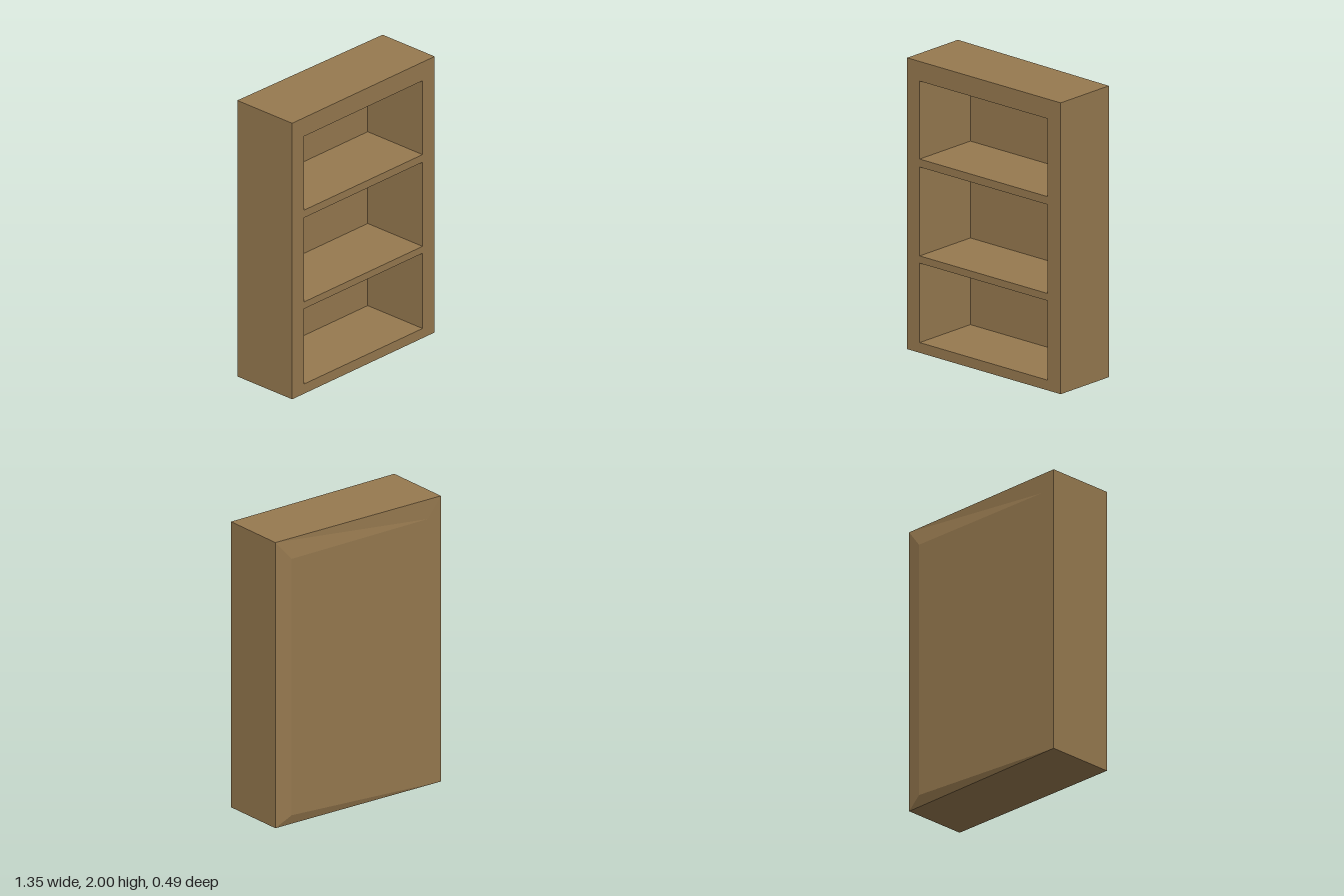
import * as THREE from 'three';

const WIDTH = 1.35, HEIGHT = 2, DEPTH = 0.49;
const LEFT = -0.565, RIGHT = 0.56;
// bottom and top of each open bay
const BAYS = [[0.07, 0.615], [0.665, 1.275], [1.33, 1.865]];

function rectangle(path, x0, y0, x1, y1) {
  path.moveTo(x0, y0);
  path.lineTo(x1, y0);
  path.lineTo(x1, y1);
  path.lineTo(x0, y1);
  path.closePath();
  return path;
}

export function createModel() {
  const group = new THREE.Group();
  group.name = 'bookcase';
  const wood = new THREE.MeshStandardMaterial({ color: 0x96794f, side: THREE.DoubleSide });
  wood.name = 'wood';

  // Frame: one board outline pierced by the three bays
  const outline = rectangle(new THREE.Shape(), -WIDTH / 2, 0, WIDTH / 2, HEIGHT);
  for (const [y0, y1] of BAYS) {
    outline.holes.push(rectangle(new THREE.Path(), LEFT, y0, RIGHT, y1));
  }
  const geometry = new THREE.ExtrudeGeometry(outline, { depth: DEPTH, bevelEnabled: false });
  geometry.translate(0, 0, -DEPTH / 2);

  // The rear edge of one side is slightly set in
  const position = geometry.attributes.position;
  for (let i = 0; i < position.count; i++) {
    if (position.getX(i) > 0.67 && position.getZ(i) < -0.24) position.setZ(i, -0.22);
  }
  geometry.computeVertexNormals();
  const frame = new THREE.Mesh(geometry, wood);
  frame.name = 'frame';
  group.add(frame);

  // Thin back panel closing each bay
  BAYS.forEach(([y0, y1], i) => {
    const panel = new THREE.Mesh(new THREE.PlaneGeometry(RIGHT - LEFT, y1 - y0), wood);
    panel.position.set((LEFT + RIGHT) / 2, (y0 + y1) / 2, -DEPTH / 2);
    panel.name = `backPanel${i + 1}`;
    group.add(panel);
  });

  return group;
}
